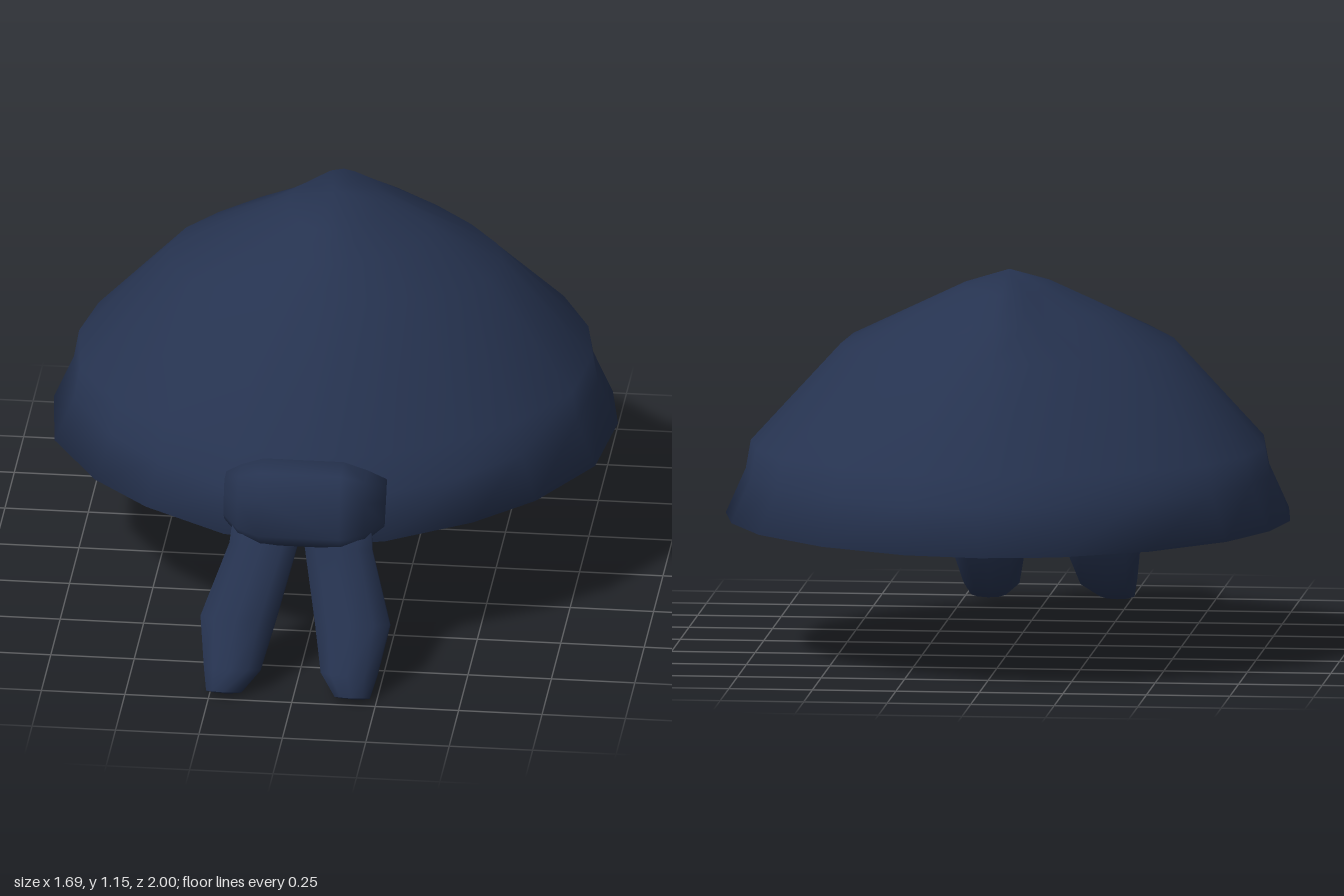
import * as THREE from 'three';

// Skin a list of equal-length rings; the end, and the start unless open, close on a centre point.
function loft(rings, { open = false, endPoint } = {}) {
  const n = rings[0].length, pos = rings.flat(2), idx = [];
  for (let i = 0; i < rings.length - 1; i++) {
    for (let j = 0; j < n; j++) {
      const k = (j + 1) % n;
      const a = i * n + j, b = i * n + k, c = b + n, d = a + n;
      idx.push(a, b, c, a, c, d);
    }
  }
  const mean = (ring) => [0, 1, 2].map((q) => ring.reduce((s, p) => s + p[q], 0) / n);
  const s = rings.length * n, last = s - n;
  pos.push(...(endPoint || mean(rings[rings.length - 1])));
  if (!open) pos.push(...mean(rings[0]));
  for (let j = 0; j < n; j++) {
    const k = (j + 1) % n;
    idx.push(s, last + j, last + k);
    if (!open) idx.push(s + 1, k, j);
  }
  const g = new THREE.BufferGeometry();
  g.setAttribute('position', new THREE.Float32BufferAttribute(pos, 3));
  g.setIndex(idx);
  g.computeVertexNormals();
  return g;
}

// Half of the rim outline seen from above, front to back.
const MID_Z = -0.18;
const half = [[0, 0.72], [0.24, 0.68], [0.49, 0.53], [0.66, 0.37], [0.81, 0.12], [0.845, -0.18],
  [0.805, -0.4], [0.7, -0.62], [0.49, -0.83], [0.23, -0.965], [0, -1]];
const mirrored = half.slice(1, -1).reverse().map(([x, z]) => [-x, z]);
const outline = [...half, ...mirrored].map(([x, z]) =>
  [x / 0.845, z > MID_Z ? (z - MID_Z) / 0.9 : (z - MID_Z) / 0.82]);

// One dome ring from its side, front and back extents and heights;
// flat pulls in the rear quarters.
function domeRing([x, ySide, zFront, yFront, zBack, yBack, flat = 0]) {
  return outline.map(([u, v]) => {
    const yEnd = v > 0 ? yFront : yBack;
    const reach = v > 0 ? zFront - MID_Z : MID_Z - zBack;
    const pull = v < 0 ? 1 - flat * 4 * u * u * v * v : 1;
    return [u * x * pull, ySide + (yEnd - ySide) * v * v, MID_Z + v * reach * pull];
  });
}

// Thin cloth dome with a hem turned in at the rim.
function domeGeometry() {
  const rings = [
    [0.755, 0.425, 0.64, 0.41, -0.91, 0.425],
    [0.845, 0.415, 0.72, 0.395, -1.0, 0.408],
    [0.785, 0.55, 0.66, 0.52, -0.935, 0.55],
    [0.77, 0.635, 0.61, 0.63, -0.92, 0.64],
    [0.5, 0.93, 0.3, 1.0, -0.67, 0.94, 0.11],
    [0.29, 1.035, 0.17, 1.06, -0.53, 1.03, 0.2],
    [0.14, 1.11, 0.05, 1.11, -0.39, 1.11, 0.15],
  ];
  return loft(rings.map(domeRing), { open: true, endPoint: [0, 1.155, -0.14] });
}

// Knot: a side profile (z, y) swept across x, sinking into the cloth at the ends.
function knotGeometry() {
  const profile = [[0.61, 0.61], [0.68, 0.652], [0.77, 0.645], [0.8, 0.57],
    [0.82, 0.46], [0.77, 0.41], [0.7, 0.395], [0.63, 0.45]];
  const stations = [[-0.24, 0.55, -0.07], [-0.19, 0.82, -0.02], [-0.12, 1, 0],
    [0.12, 1, 0], [0.19, 0.82, -0.02], [0.24, 0.55, -0.07]];
  return loft(stations.map(([x, s, back]) =>
    profile.map(([z, y]) => [x, 0.47 + (y - 0.47) * s, 0.68 + back + (z - 0.68) * s])));
}

// Tail: flattened oval sections from the tip up into the knot, edges curled back.
function tailGeometry(side) {
  const sections = [ // x, y, z, half width, half thickness, curl
    [0.178, 0.016, 0.98, 0.055, 0.024, 0.01],
    [0.162, 0.065, 0.935, 0.088, 0.05, 0.025],
    [0.162, 0.19, 0.855, 0.118, 0.05, 0.04],
    [0.11, 0.39, 0.745, 0.106, 0.042, 0.02],
    [0.11, 0.48, 0.71, 0.1, 0.045, 0],
  ];
  const N = 10;
  return loft(sections.map(([x, y, z, w, t, curl]) =>
    Array.from({ length: N }, (_, j) => {
      const a = (j / N) * Math.PI * 2, s = Math.sin(a), c = Math.cos(a);
      const lean = side < 0 ? -0.03 * (1 - y / 0.48) : 0;
      return [side * x + lean + s * w, y + c * t * 0.48, z + c * t * 0.88 - s * s * curl];
    })));
}

export function createModel() {
  const navy = new THREE.MeshStandardMaterial({ color: 0x263350, side: THREE.DoubleSide });
  navy.name = 'navyCloth';
  const group = new THREE.Group();
  group.name = 'bandana';
  const add = (name, geometry) => {
    const mesh = new THREE.Mesh(geometry, navy);
    mesh.name = name;
    group.add(mesh);
  };
  add('headCover', domeGeometry());
  add('knot', knotGeometry());
  add('leftTail', tailGeometry(1));
  add('rightTail', tailGeometry(-1));
  return group;
}
